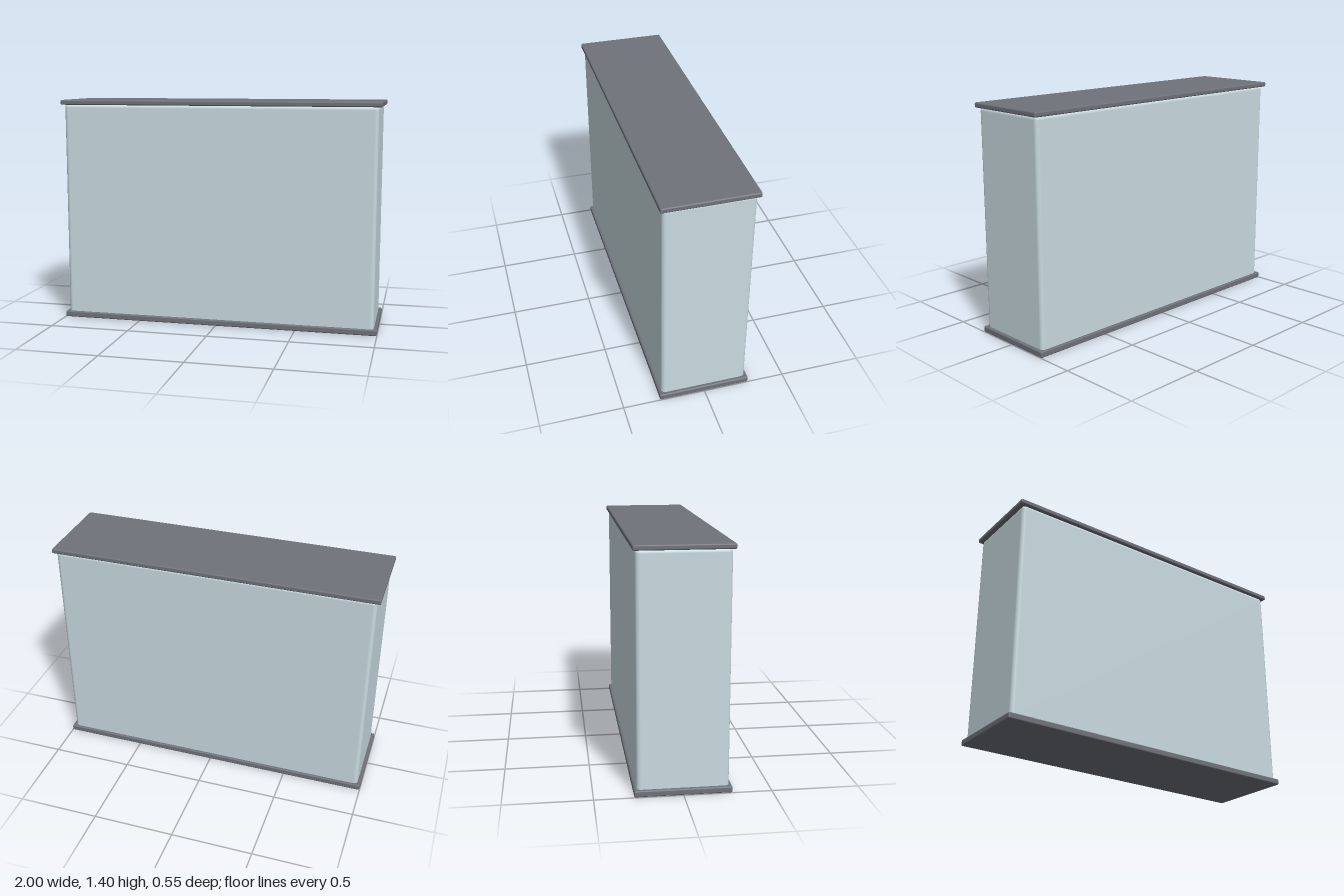
import * as THREE from 'three';
import { RoundedBoxGeometry } from 'three/addons/geometries/RoundedBoxGeometry.js';

const glass = new THREE.MeshStandardMaterial({ color: 0xc9dbe1 });
const trim = new THREE.MeshStandardMaterial({ color: 0x6f727a });

// A softly edged block spanning bottom..top, centred on x and z
function block(name, width, depth, bottom, top, radius, segments, material) {
  const geometry = new RoundedBoxGeometry(width, top - bottom, depth, segments, radius);
  const mesh = new THREE.Mesh(geometry, material);
  mesh.name = name;
  mesh.position.y = (bottom + top) / 2;
  return mesh;
}

export function createModel() {
  const group = new THREE.Group();
  group.name = 'tank';
  group.add(
    // Glass body, sunk into the base and touching the lid
    block('glassBody', 1.96, 0.522, 0.002, 1.376, 0.025, 2, glass),
    // Thin overhanging lid and base
    block('lid', 2, 0.552, 1.37, 1.4, 0.008, 2, trim),
    block('base', 2, 0.552, 0, 0.037, 0.008, 2, trim),
  );
  return group;
}
